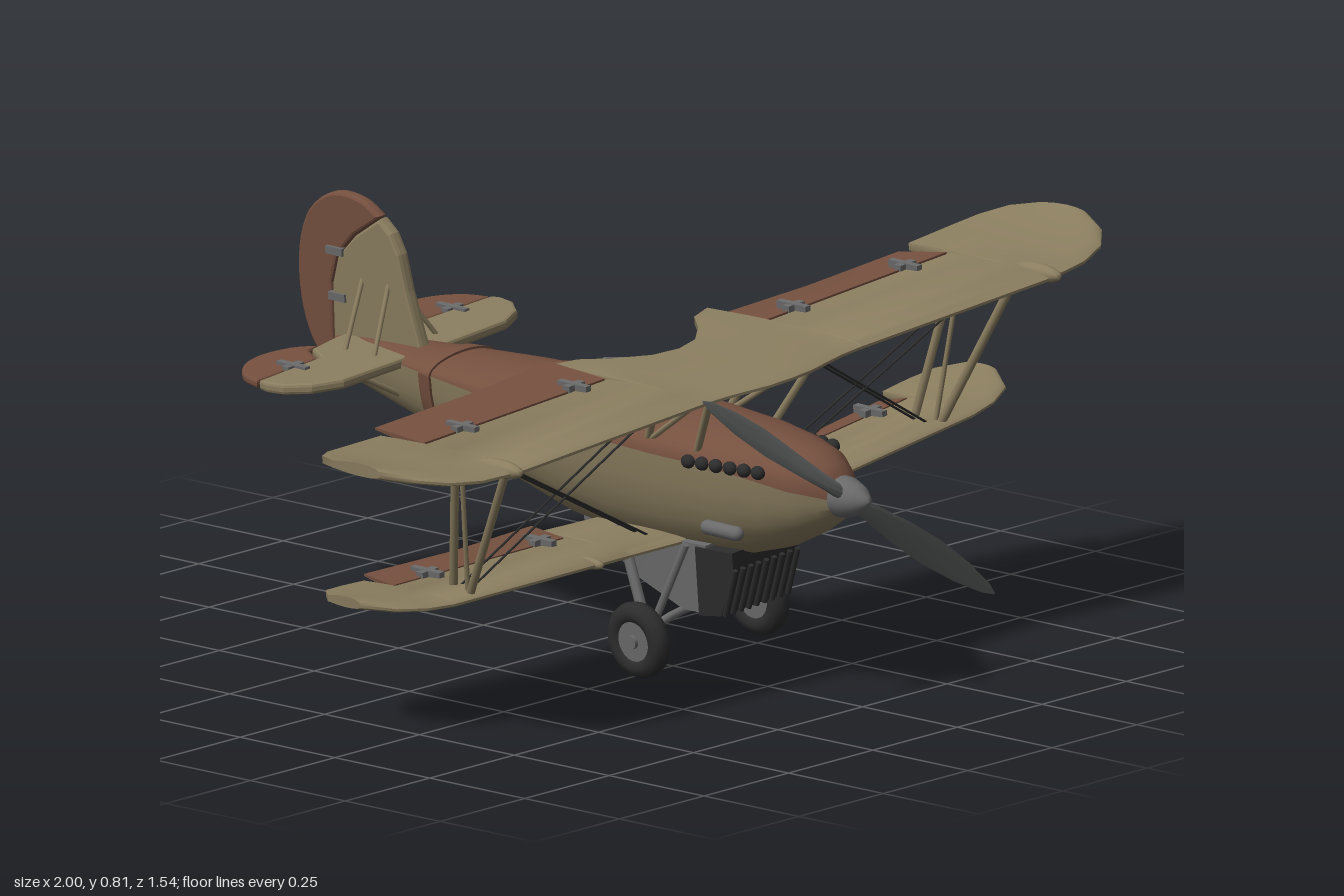
import * as THREE from 'three';
import { toCreasedNormals } from 'three/addons/utils/BufferGeometryUtils.js';

const V = (x, y, z) => new THREE.Vector3(x, y, z);
const mat = (name, color) => Object.assign(new THREE.MeshStandardMaterial({ color }), { name });

// Solid skin through closed cross-sections, flipped outward if needed
function loft(rings) {
  const n = rings[0].length, pts = rings.flat(), idx = [];
  for (let i = 0; i < rings.length - 1; i++) for (let j = 0; j < n; j++) {
    const a = i * n + j, b = i * n + (j + 1) % n;
    idx.push(a, b, b + n, a, b + n, a + n);
  }
  const e = (rings.length - 1) * n;
  for (let j = 1; j < n - 1; j++) idx.push(0, j + 1, j, e, e + j, e + j + 1);
  let vol = 0;
  for (let i = 0; i < idx.length; i += 3)
    vol += pts[idx[i]].dot(pts[idx[i + 1]].clone().cross(pts[idx[i + 2]]));
  if (vol < 0) idx.reverse();
  const g = new THREE.BufferGeometry().setFromPoints(pts);
  g.setIndex(idx);
  return toCreasedNormals(g, 0.7);
}

// Wing skin from stations [x, leading z, trailing z, y]; lift tilts the trailing edge
const U = [0, 0.03, 0.1, 0.25, 0.45, 0.7, 1];
function wingSkin(stations, t, flat = false, lift = 0) {
  return loft(stations.map(([x, le, te, y]) => {
    const h = u => flat ? t * (1 - 0.7 * u) : t * (0.2 + 1.75 * Math.sqrt(u) * (1 - 0.8 * u));
    const p = (u, k) => V(x, y + k * h(u) + lift * u, le + (te - le) * u);
    return [...U.map(u => p(u, 0.6)), ...[...U].reverse().map(u => p(u, -0.4))];
  }));
}
const mirrored = s => [...s.slice(1).reverse().map(([x, ...r]) => [-x, ...r]), ...s];

// Thin plate with a softened edge
function plate(points, t) {
  const s = new THREE.Shape(points.map(p => new THREE.Vector2(...p)));
  const g = new THREE.ExtrudeGeometry(s, { depth: t * 0.4, bevelThickness: t * 0.3, bevelSize: 0.006, bevelOffset: -0.006, bevelSegments: 2 });
  return g.translate(0, 0, -t * 0.2);
}
const smooth = (pts, n = 20) => new THREE.SplineCurve(pts.map(p => new THREE.Vector2(...p))).getPoints(n).map(p => [p.x, p.y]);

export function createModel() {
  const root = new THREE.Group(), plane = new THREE.Group();
  root.name = 'biplane'; plane.name = 'airframe';
  const beige = mat('beige', 0x8a7d5f), brown = mat('brown', 0x75503f), steel = mat('steel', 0x6a6a6a);
  const dark = mat('dark', 0x2c2c2c), glass = mat('glass', 0x2f5064), propGrey = mat('propeller grey', 0x646766);
  const add = (name, g, m, parent = plane) => {
    const o = new THREE.Mesh(g, m); o.name = name; parent.add(o); return o;
  };
  const rod = (name, a, b, r, m) => {
    const d = b.clone().sub(a), o = add(name, new THREE.CylinderGeometry(r, r, d.length(), 8), m);
    o.position.copy(a).addScaledVector(d, 0.5);
    o.quaternion.setFromUnitVectors(V(0, 1, 0), d.normalize());
    return o;
  };

  // Fuselage: [z, half width, top, seam, bottom], brown deck over beige hull
  const hull = [[0.7, 0.035, 0.455, 0.42, 0.385], [0.675, 0.06, 0.485, 0.43, 0.36], [0.63, 0.088, 0.507, 0.44, 0.33],
    [0.56, 0.108, 0.518, 0.455, 0.295], [0.46, 0.122, 0.528, 0.468, 0.265], [0.3, 0.132, 0.537, 0.473, 0.25],
    [0.15, 0.138, 0.542, 0.48, 0.25], [0, 0.134, 0.545, 0.49, 0.268], [-0.2, 0.113, 0.538, 0.503, 0.32],
    [-0.4, 0.08, 0.53, 0.508, 0.373], [-0.58, 0.045, 0.525, 0.507, 0.415], [-0.68, 0.018, 0.52, 0.5, 0.435]];
  const half = ([z, w, top, seam, bot], up, g = 0) => Array.from({ length: 17 }, (_, i) => {
    const a = Math.PI * i / 16, c = Math.cos(a), s = Math.sin(a), e = up ? 1 : 0.85;
    return V((w + g) * Math.sign(c) * Math.abs(c) ** e, seam + (up ? top - seam + g : bot - seam - g) * s ** e, z);
  });
  add('upper fuselage', loft(hull.map(h => half(h, true))), brown);
  add('lower fuselage', loft(hull.map(h => half(h, false))), beige);
  const band = [[-0.345, 0.09, 0.532, 0.507, 0.358], [-0.38, 0.084, 0.531, 0.508, 0.367]];
  for (const up of [true, false]) add('tail band', loft(band.map(h => half(h, up, 0.005))), brown);

  // Spinner and propeller
  const spin = add('spinner', new THREE.LatheGeometry([[0.042, 0], [0.041, 0.02], [0.03, 0.05], [0.012, 0.073], [0, 0.078]].map(p => new THREE.Vector2(...p)), 24), steel);
  spin.rotation.x = Math.PI / 2; spin.position.set(0, 0.42, 0.692);
  const prop = new THREE.Group(); prop.name = 'propeller';
  prop.position.set(0, 0.42, 0.712); prop.rotation.z = -0.663; plane.add(prop);
  const blade = loft([[0.01, 0.014, 0.014, 0.9], [0.08, 0.022, 0.01, 0.8], [0.18, 0.03, 0.007, 0.65], [0.28, 0.031, 0.005, 0.5],
    [0.38, 0.024, 0.004, 0.4], [0.46, 0.012, 0.003, 0.35], [0.49, 0.002, 0.001, 0.3]].map(([r, c, t, tw]) =>
    Array.from({ length: 10 }, (_, i) => {
      const a = i * Math.PI / 5, u = c * Math.cos(a), v = t * Math.sin(a);
      return V(r, u * Math.cos(tw) - v * Math.sin(tw), u * Math.sin(tw) + v * Math.cos(tw));
    })));
  for (const a of [0, Math.PI]) add('blade', blade, propGrey, prop).rotation.z = a;

  // Wings
  add('upper wing', wingSkin(mirrored([[0, 0.575, 0.265, 0.64], [0.06, 0.572, 0.25, 0.64], [0.12, 0.56, 0.2, 0.64],
    [0.165, 0.552, 0.145, 0.64], [0.222, 0.548, 0.125, 0.64], [0.224, 0.548, 0.288, 0.64], [0.743, 0.555, 0.285, 0.642],
    [0.745, 0.555, 0.17, 0.642], [0.85, 0.552, 0.178, 0.65], [0.92, 0.53, 0.195, 0.66], [0.97, 0.485, 0.23, 0.671], [1, 0.42, 0.29, 0.68]]), 0.028), beige);
  add('lower wing', wingSkin(mirrored([[0, 0.34, 0.1, 0.28], [0.24, 0.335, 0.085, 0.295], [0.242, 0.335, 0.16, 0.295],
    [0.73, 0.333, 0.16, 0.325], [0.732, 0.333, 0.085, 0.325], [0.8, 0.325, 0.088, 0.333], [0.86, 0.3, 0.105, 0.343], [0.9, 0.24, 0.15, 0.352]]), 0.024), beige);
  const bracket = (x, y, z) => {
    add('hinge arm', new THREE.BoxGeometry(0.014, 0.016, 0.08), steel).position.set(x, y, z);
    add('hinge block', new THREE.BoxGeometry(0.045, 0.014, 0.018), steel).position.set(x, y, z);
  };
  for (const s of [1, -1]) {
    const lift = s * -0.015;
    add('upper aileron', wingSkin([[0.23, 0.284, 0.132, 0.642], [0.48, 0.283, 0.15, 0.643], [0.738, 0.281, 0.148, 0.644]].map(([x, ...r]) => [s * x, ...r]), 0.016, true, lift), brown);
    add('lower flap', wingSkin([[0.248, 0.158, 0.072, 0.297], [0.48, 0.158, 0.088, 0.311], [0.725, 0.158, 0.078, 0.326]].map(([x, ...r]) => [s * x, ...r]), 0.014, true, lift), brown);
    for (const x of [0.31, 0.625]) {
      bracket(s * x, 0.655, 0.278);
      bracket(s * x, 0.283 + x * 0.06 + 0.012, 0.155);
    }
    const pod = add('wing pod', new THREE.SphereGeometry(1, 16, 10), beige);
    pod.scale.set(0.019, 0.019, 0.065); pod.position.set(s * 0.76, 0.648, 0.51);
    const lowPod = add('lower wing pod', new THREE.SphereGeometry(1, 12, 8), beige);
    lowPod.scale.set(0.012, 0.012, 0.04); lowPod.position.set(s * 0.33, 0.302, 0.31);

    // Interplane struts, cabane struts and wires
    rod('front wing strut', V(s * 0.715, 0.64, 0.49), V(s * 0.665, 0.325, 0.31), 0.009, beige);
    rod('rear wing strut', V(s * 0.705, 0.64, 0.335), V(s * 0.65, 0.325, 0.25), 0.009, beige);
    rod('diagonal wing strut', V(s * 0.705, 0.635, 0.35), V(s * 0.66, 0.325, 0.3), 0.005, beige);
    rod('front cabane strut', V(s * 0.15, 0.64, 0.5), V(s * 0.105, 0.48, 0.4), 0.008, beige);
    rod('rear cabane strut', V(s * 0.15, 0.64, 0.36), V(s * 0.115, 0.5, 0.28), 0.008, beige);
    rod('diagonal cabane strut', V(s * 0.15, 0.64, 0.5), V(s * 0.115, 0.5, 0.29), 0.006, beige);
    for (const d of [0, 0.03]) {
      rod('landing wire', V(s * 0.17, 0.635, 0.42 - d), V(s * 0.65, 0.325, 0.29 - d), 0.0025, dark);
      rod('flying wire', V(s * 0.7, 0.635, 0.43 - d), V(s * 0.12, 0.295, 0.27 - d), 0.0025, dark);
    }

    // Exhaust stubs and side pipe
    for (let i = 0; i < 6; i++) {
      const e = add('exhaust stub', new THREE.SphereGeometry(1, 12, 8), dark);
      e.scale.set(0.013, 0.014, 0.016);
      e.position.set(s * (0.106 + i * 0.0045), 0.474, 0.57 - i * 0.034);
    }
    const pipe = add('side pipe', new THREE.CapsuleGeometry(0.015, 0.08, 4, 12), steel);
    pipe.rotation.x = Math.PI / 2; pipe.position.set(s * 0.115, 0.34, 0.47);

    // Wheel and gear legs
    const wheel = new THREE.Group(); wheel.name = 'wheel';
    wheel.position.set(s * 0.168, 0.093, 0.272); wheel.rotation.y = Math.PI / 2; plane.add(wheel);
    add('tyre', new THREE.TorusGeometry(0.055, 0.023, 12, 32), dark, wheel);
    add('wheel disc', new THREE.CylinderGeometry(0.046, 0.046, 0.034, 24), steel, wheel).rotation.x = Math.PI / 2;
    add('hub cap', new THREE.CylinderGeometry(0.014, 0.014, 0.05, 12), steel, wheel).rotation.x = Math.PI / 2;
    rod('front gear leg', V(s * 0.11, 0.29, 0.36), V(s * 0.14, 0.1, 0.275), 0.008, steel);
    rod('rear gear leg', V(s * 0.11, 0.3, 0.18), V(s * 0.14, 0.1, 0.27), 0.011, steel);

    // Tail bracing and elevator hinges
    rod('tail lower strut', V(s * 0.16, 0.508, -0.5), V(s * 0.04, 0.43, -0.47), 0.006, beige);
    rod('tail rear lower strut', V(s * 0.16, 0.508, -0.58), V(s * 0.03, 0.44, -0.58), 0.006, beige);
    rod('tail upper strut', V(s * 0.09, 0.515, -0.5), V(0, 0.66, -0.53), 0.005, beige);
    rod('tail rear upper strut', V(s * 0.09, 0.515, -0.58), V(0, 0.66, -0.6), 0.005, beige);
    bracket(s * 0.225, 0.518, -0.59);
    for (const y of [0.595, 0.69]) add('rudder hinge', new THREE.BoxGeometry(0.012, 0.016, 0.045), steel).position.set(s * 0.014, y, -0.665);
  }
  add('axle', new THREE.TubeGeometry(new THREE.CatmullRomCurve3([V(-0.16, 0.093, 0.272), V(-0.08, 0.117, 0.272), V(0.08, 0.117, 0.272), V(0.16, 0.093, 0.272)]), 16, 0.009, 8), steel);

  // Radiator with grille slats, and belly fairing
  const box = ([z, w, y0, y1]) => [V(-w, y0, z), V(w, y0, z), V(w, y1, z), V(-w, y1, z)];
  add('belly fairing', loft([[0.4, 0.095, 0.148, 0.29], [0.33, 0.098, 0.148, 0.29], [0.2, 0.09, 0.19, 0.29], [0.1, 0.065, 0.228, 0.3], [0, 0.03, 0.258, 0.3]].map(box)), steel);
  add('radiator', loft([[0.468, 0.09, 0.245, 0.285], [0.432, 0.095, 0.15, 0.285], [0.375, 0.1, 0.143, 0.285]].map(box)), dark);
  for (let i = 0; i < 9; i++) rod('radiator slat', V(-0.088 + i * 0.022, 0.25, 0.472), V(-0.088 + i * 0.022, 0.15, 0.436), 0.006, dark);

  // Tailplane and elevators
  const right = [[0.06, -0.443], [0.23, -0.446], [0.29, -0.475], [0.325, -0.52], [0.333, -0.56], [0.327, -0.583], [0.15, -0.588], [0.12, -0.64], [0.04, -0.655]];
  add('tailplane', plate([...right, ...right.map(([x, z]) => [-x, z]).reverse()], 0.022).rotateX(Math.PI / 2).translate(0, 0.51, 0), beige);
  for (const s of [1, -1]) {
    const lobe = smooth([[0.328, -0.59], [0.31, -0.645], [0.26, -0.69], [0.195, -0.704], [0.13, -0.685], [0.095, -0.65]]);
    add('elevator', plate([...lobe, [0.125, -0.645], [0.155, -0.593]].map(([x, z]) => [s * x, z]), 0.018).rotateX(Math.PI / 2).translate(0, 0.51, 0), brown);
  }

  // Fin and rudder
  const hinge = [[-0.54, 0.776], [-0.61, 0.73], [-0.66, 0.68], [-0.68, 0.62], [-0.685, 0.5]];
  add('fin', plate([[-0.44, 0.51], [-0.475, 0.636], [-0.49, 0.71], [-0.51, 0.75], ...hinge], 0.03).rotateY(-Math.PI / 2), beige);
  const back = smooth([[-0.7, 0.44], [-0.747, 0.49], [-0.773, 0.575], [-0.77, 0.68], [-0.734, 0.765], [-0.665, 0.81], [-0.59, 0.807], [-0.542, 0.78]], 28);
  add('rudder', plate([...back, ...hinge.map(([z, y]) => [z - 0.004, y])], 0.026).rotateY(-Math.PI / 2), brown);
  rod('tail skid', V(0, 0.39, -0.41), V(0, 0.332, -0.48), 0.008, beige);
  rod('tail skid foot', V(0, 0.332, -0.475), V(0, 0.328, -0.525), 0.01, beige);

  // Canopy with frames, and cockpit rim behind
  const arch = [[0.275, 0.05, 0.538], [0.215, 0.068, 0.592], [0.13, 0.078, 0.602], [0.055, 0.068, 0.59]].map(([z, w, top]) =>
    Array.from({ length: 7 }, (_, i) => V(w * Math.cos(i * Math.PI / 6), 0.522 + (top - 0.522) * Math.sin(i * Math.PI / 6), z)));
  add('canopy glass', loft(arch), glass);
  arch.forEach((ring, k) => ring.forEach((p, i) => {
    if (i < 6) rod('canopy frame', p, ring[i + 1], 0.004, steel);
    if (k < 3 && i % 2 === 0) rod('canopy rail', p, arch[k + 1][i], 0.004, steel);
  }));
  const rim = add('cockpit rim', new THREE.TorusGeometry(0.056, 0.006, 8, 24), dark);
  rim.rotation.x = Math.PI / 2; rim.position.set(0, 0.543, 0.02);
  const rest = add('headrest', new THREE.SphereGeometry(1, 16, 10), brown);
  rest.scale.set(0.045, 0.025, 0.09); rest.position.set(0, 0.54, -0.03);

  // Banked, slightly yawed attitude about the nose
  plane.position.set(0, -0.42, -0.73);
  const tilt = new THREE.Group(); tilt.name = 'attitude';
  tilt.add(plane); tilt.rotation.set(0, -0.047, 0.085); tilt.position.set(0, 0.42, 0.73);
  root.add(tilt);
  return root;
}
